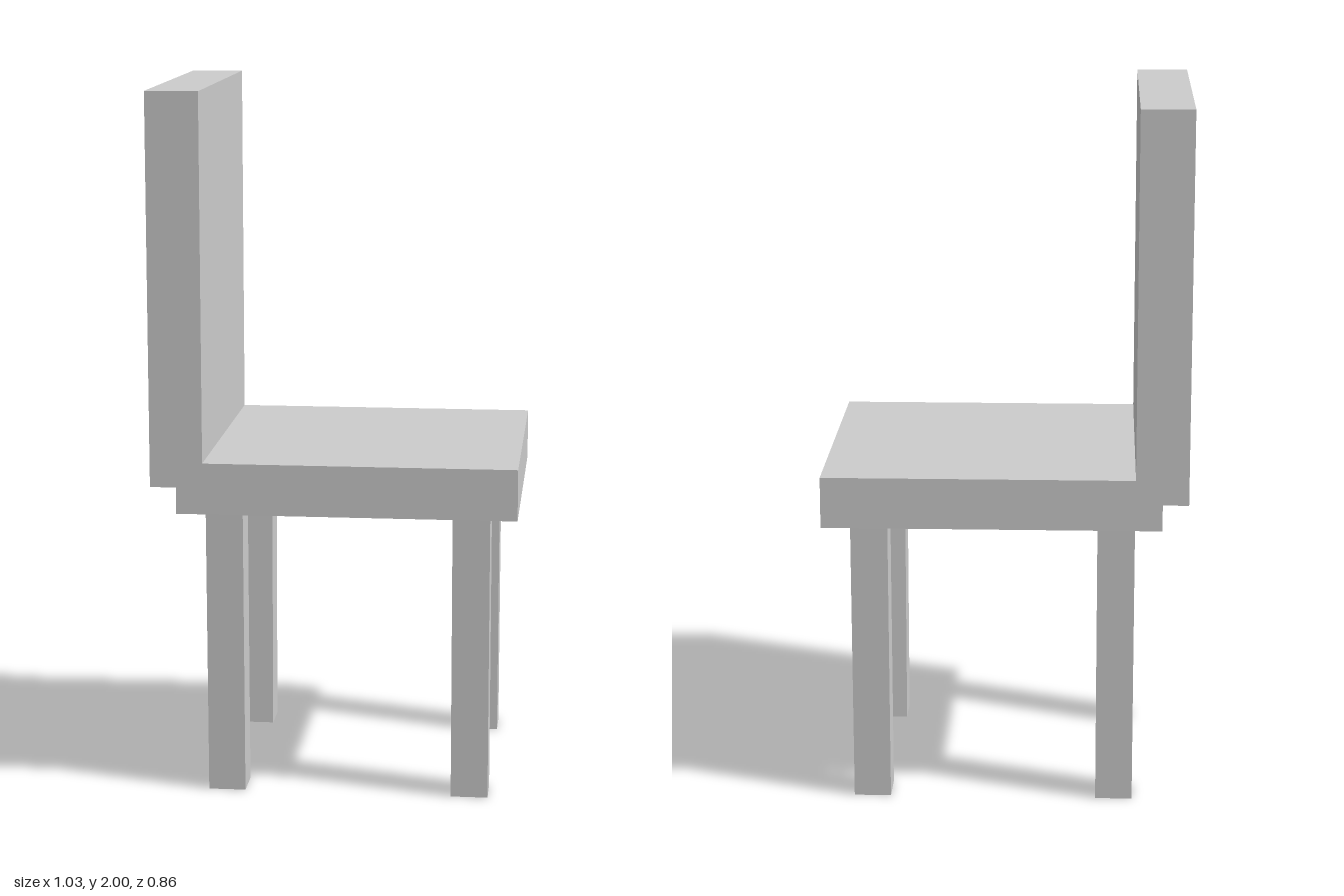
import * as THREE from 'three';

const material = new THREE.MeshStandardMaterial({ color: 0xcccccc, flatShading: true });

// Seat and backrest as one stepped side profile, extruded across the width
function createSeatAndBack(width) {
  const profile = new THREE.Shape([
    [-0.513, 0.9], [-0.44, 0.9], [-0.44, 0.825], [0.513, 0.825],
    [0.513, 0.97], [-0.365, 0.97], [-0.365, 2], [-0.513, 2],
  ].map(([x, y]) => new THREE.Vector2(x, y)));
  const geometry = new THREE.ExtrudeGeometry(profile, { depth: width, bevelEnabled: false });
  geometry.translate(0, 0, -width / 2);
  const mesh = new THREE.Mesh(geometry, material);
  mesh.name = 'seatAndBackrest';
  return mesh;
}

// Square leg, sheared so that its foot sits slightly further in than its top
function createLeg(name, x, side) {
  const height = 0.826, topZ = 0.327, footZ = 0.315;
  const geometry = new THREE.BoxGeometry(0.105, height, 0.107);
  geometry.translate(0, height / 2, 0);
  const pos = geometry.attributes.position;
  for (let i = 0; i < pos.count; i++) {
    const t = pos.getY(i) / height;
    pos.setZ(i, pos.getZ(i) + side * THREE.MathUtils.lerp(footZ, topZ, t));
  }
  geometry.computeVertexNormals();
  const mesh = new THREE.Mesh(geometry, material);
  mesh.position.x = x;
  mesh.name = name;
  return mesh;
}

export function createModel() {
  const chair = new THREE.Group();
  chair.name = 'chair';
  chair.add(createSeatAndBack(0.864));

  // The backrest stands at -x, so legs are named by their place along x and z
  for (const [place, x] of [['backrestEnd', -0.312], ['openEnd', 0.383]]) {
    for (const side of [-1, 1]) {
      chair.add(createLeg(`${place}Leg${side > 0 ? 'Front' : 'Rear'}`, x, side));
    }
  }
  return chair;
}
